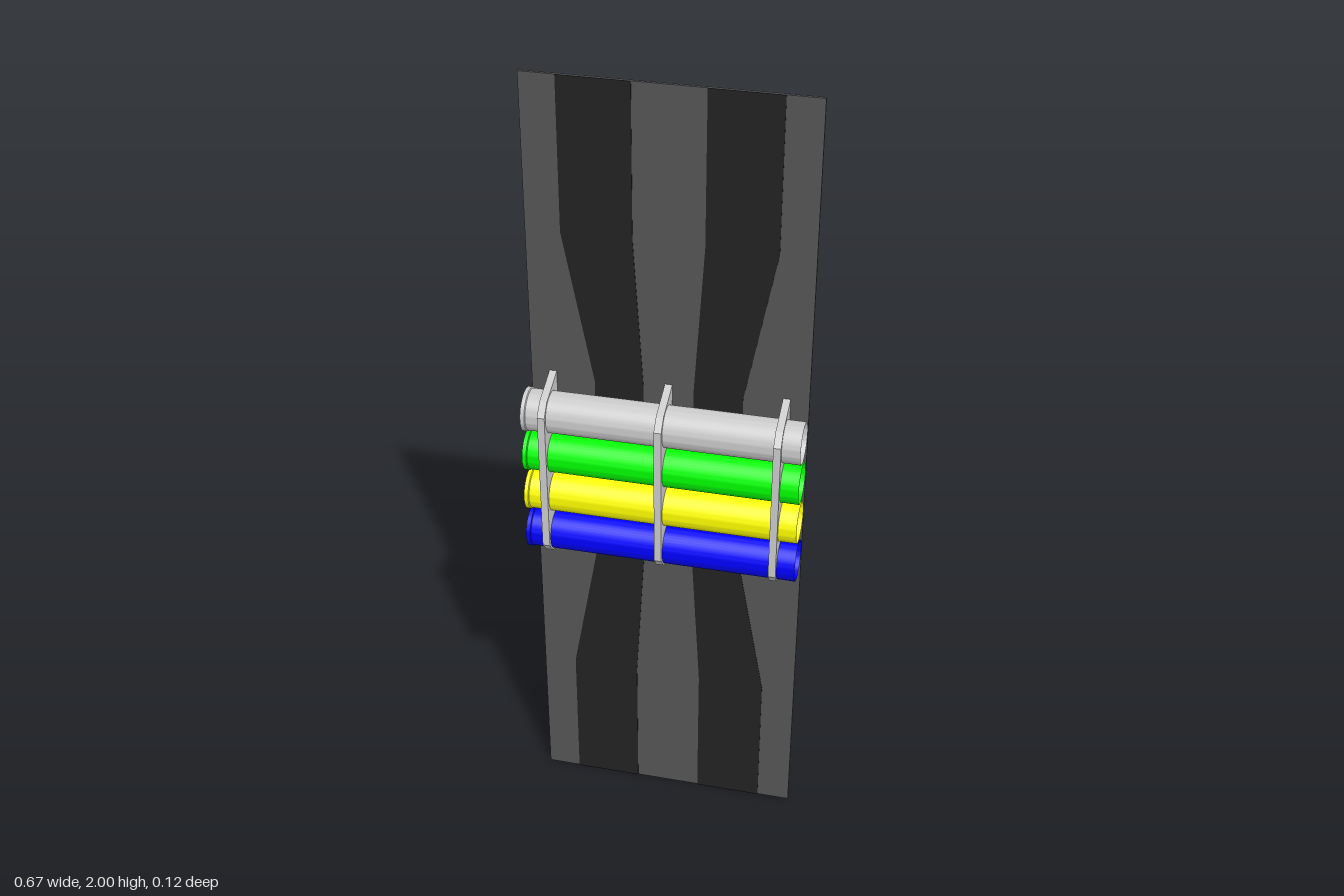
import * as THREE from 'three';
import { toCreasedNormals } from 'three/addons/utils/BufferGeometryUtils.js';

const HALF = 0.333;          // half width of the panel and pipes
const PIPE_Z = 0.001;
const PIPE_Y = [1.184, 1.073, 0.96, 0.847];

function material(color, double = false) {
  return new THREE.MeshStandardMaterial({ color, side: double ? THREE.DoubleSide : THREE.FrontSide });
}

function addMesh(parent, name, geometry, mat) {
  const mesh = new THREE.Mesh(geometry, mat);
  mesh.name = name;
  parent.add(mesh);
  return mesh;
}

function shapeOf(points) {
  return new THREE.Shape(points.map(([x, y]) => new THREE.Vector2(x, y)));
}

// thin-walled tube along x with a wider collar at the -x end
function pipeGeometry() {
  const profile = [
    [0.0515, -HALF], [0.0532, -HALF], [0.0532, -0.323], [0.0508, -0.321],
    [0.0508, HALF], [0.0496, HALF], [0.0496, -0.321], [0.0515, -HALF],
  ].map(([r, y]) => new THREE.Vector2(r, y));
  const geometry = new THREE.LatheGeometry(profile, 48).rotateZ(-Math.PI / 2);
  return toCreasedNormals(geometry, 0.6);
}

// cradle plate seen from the side, bored for the four pipes
function bracketGeometry(width) {
  const shape = shapeOf([
    [0.054, 0.768], [0.054, 1.264], [0.025, 1.252],
    [-0.035, 1.23], [-0.0605, 1.2],
    [-0.0605, 0.832], [-0.035, 0.802], [0.025, 0.78],
  ]);
  for (const y of PIPE_Y) {
    const hole = new THREE.Path();
    hole.absarc(-PIPE_Z, y, 0.0509, 0, Math.PI * 2, true);
    shape.holes.push(hole);
  }
  const geometry = new THREE.ExtrudeGeometry(shape, { depth: width, bevelEnabled: false, curveSegments: 24 });
  return geometry.translate(0, 0, -width / 2).rotateY(Math.PI / 2);
}

// band that narrows behind the pipes; side is +1 or -1
function stripeGeometry(side) {
  const outline = [
    [0.083, 0], [0.25, 0], [0.25, 0.38], [0.178, 0.78], [0.178, 1.25],
    [0.25, 1.63], [0.25, 2], [0.083, 2], [0.083, 1.63], [0.06, 1.25],
    [0.06, 0.78], [0.083, 0.38],
  ].map(([x, y]) => [side * x, y]);
  return new THREE.ExtrudeGeometry(shapeOf(outline), { depth: 0.0015, bevelEnabled: false });
}

export function createModel() {
  const model = new THREE.Group();
  model.name = 'pipeRackPanel';

  // back panel
  const panel = addMesh(model, 'backPanel', new THREE.BoxGeometry(2 * HALF, 2, 0.007), material(0x555555));
  panel.position.set(0, 1, -0.0575);

  // dark bands on the panel
  const dark = material(0x222222);
  for (const side of [-1, 1]) {
    const stripe = addMesh(model, side > 0 ? 'leftStripe' : 'rightStripe', stripeGeometry(side), dark);
    stripe.position.z = -0.054;
  }

  // four open pipes
  const pipe = pipeGeometry();
  const colors = { greyPipe: 0xcccccc, greenPipe: 0x00ff00, yellowPipe: 0xffff00, bluePipe: 0x0000ff };
  Object.entries(colors).forEach(([name, color], i) => {
    addMesh(model, name, pipe, material(color, true)).position.set(0, PIPE_Y[i], PIPE_Z);
  });

  // three brackets holding the pipes
  const bracket = bracketGeometry(0.018);
  const grey = material(0xcccccc);
  [['rightBracket', -0.28], ['middleBracket', 0], ['leftBracket', 0.28]].forEach(([name, x]) => {
    addMesh(model, name, bracket, grey).position.x = x;
  });

  return model;
}
